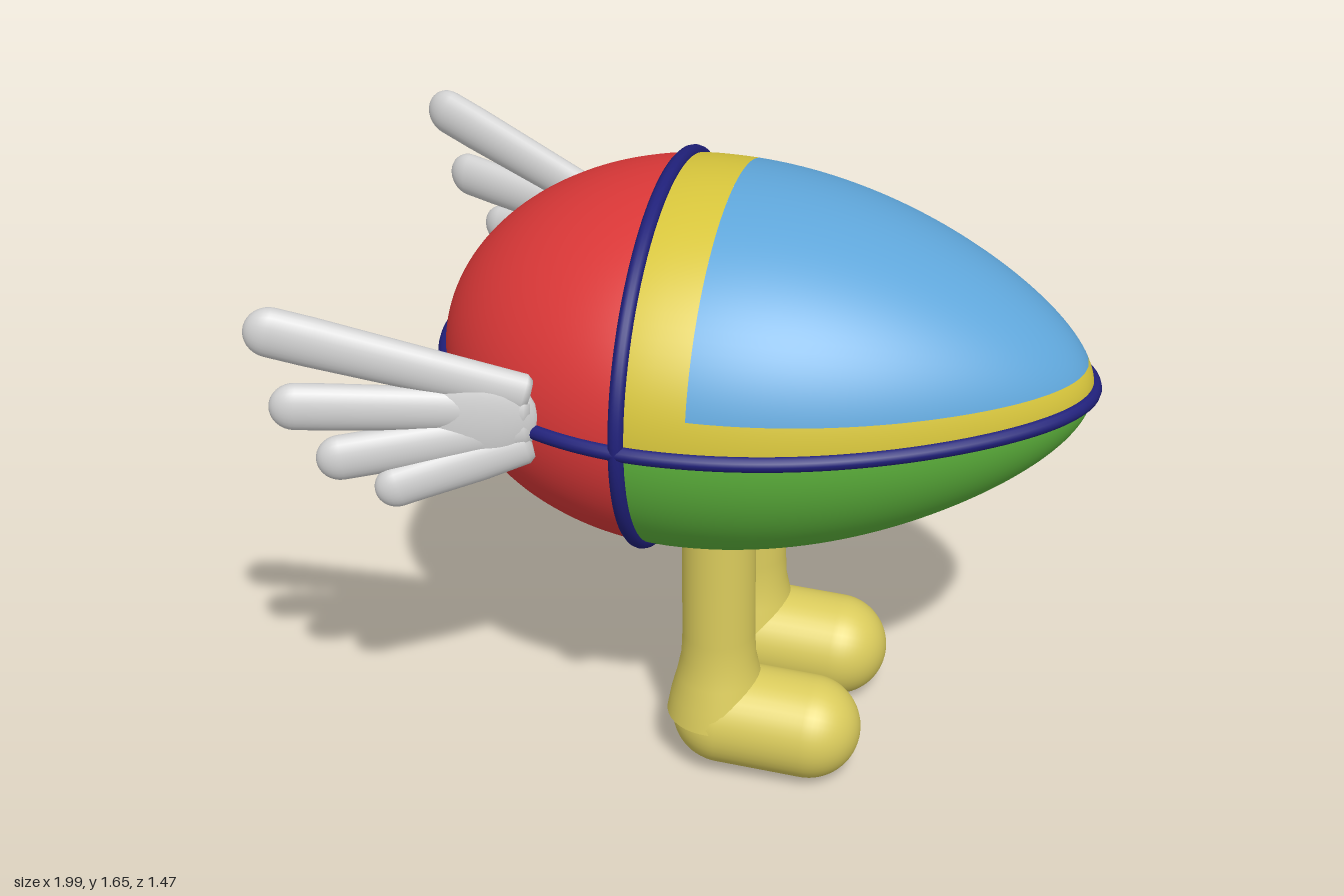
import * as THREE from 'three';

const mat = (name, color, extra = {}) => {
  const m = new THREE.MeshStandardMaterial({ color, ...extra });
  m.name = name;
  return m;
};

// Egg dimensions: widest section at CX, blunt back (-x), pointed nose (+x)
const CX = -0.04, CY = 1.15, BACK = 0.67, NOSE = 1.01, RY = 0.49, RZ = 0.575;

// Squared relative radius of the egg at x
function radiusSq(x) {
  const t = (x - CX) / (x < CX ? BACK : NOSE);
  const taper = x < CX ? 1 : 1 - 0.25 * t * t;
  return Math.max(0, 1 - t * t) * taper * taper;
}
const radius = (x) => Math.sqrt(radiusSq(x));

// Angle at which the upper yellow border ends
function borderAngle(x) {
  const h = 0.1 - 0.03 * (x - 0.05) / 0.92;
  return Math.asin(Math.min(1, h / Math.max(1e-6, RY * radius(x))));
}

// Patch of the egg skin between two x positions and two angle rules
function eggPatch(x0, x1, from, to, rows = 48, cols = 48) {
  const pos = [], nor = [], idx = [];
  for (let i = 0; i <= rows; i++) {
    const x = x0 + (x1 - x0) * Math.sin((i / rows) * Math.PI / 2);
    const f = radius(x), e = 1e-4;
    const slope = (radiusSq(x + e) - radiusSq(x - e)) / (4 * e);
    for (let j = 0; j <= cols; j++) {
      const a = THREE.MathUtils.lerp(from(x), to(x), j / cols);
      const y = RY * f * Math.sin(a), z = RZ * f * Math.cos(a);
      const n = new THREE.Vector3(-slope, y / (RY * RY), z / (RZ * RZ)).normalize();
      pos.push(x, CY + y, z);
      nor.push(n.x, n.y, n.z);
      if (i < rows && j < cols) {
        const p = i * (cols + 1) + j, q = p + cols + 1;
        idx.push(p, q, p + 1, q, q + 1, p + 1);
      }
    }
  }
  const g = new THREE.BufferGeometry();
  g.setAttribute('position', new THREE.Float32BufferAttribute(pos, 3));
  g.setAttribute('normal', new THREE.Float32BufferAttribute(nor, 3));
  g.setIndex(idx);
  return g;
}

// Closed tube through points given by a function of the angle
function loopBand(at) {
  const pts = Array.from({ length: 96 }, (_, i) => at((i / 96) * Math.PI * 2));
  return new THREE.TubeGeometry(new THREE.CatmullRomCurve3(pts, true), 160, 0.02, 12, true);
}

export function createModel() {
  const model = new THREE.Group();
  model.name = 'wingedEgg';
  const red = mat('red', 0xdc3838), blue = mat('blue', 0x5fa6da);
  const green = mat('green', 0x5db33c), yellow = mat('stripeYellow', 0xd8c63c);
  const legYellow = mat('legYellow', 0xdacb5c), navy = mat('navy', 0x20207a);
  const white = mat('wingGrey', 0xd2d2d2);

  const add = (parent, name, geometry, material) => {
    const m = new THREE.Mesh(geometry, material);
    m.name = name;
    parent.add(m);
    return m;
  };
  const k = (v) => () => v;
  const PI = Math.PI, tip = CX + NOSE;

  // Egg skin panels
  const egg = new THREE.Group();
  egg.name = 'egg';
  model.add(egg);
  add(egg, 'backShell', eggPatch(-0.12, CX - BACK, k(2 * PI), k(0), 40, 80), red);
  add(egg, 'lowerShell', eggPatch(-0.12, tip, k(-PI), k(0)), green);
  add(egg, 'crossStripe', eggPatch(-0.12, 0.05, k(0), k(PI), 12), yellow);
  add(egg, 'leftBorder', eggPatch(0.05, tip, k(0), borderAngle, 64, 12), yellow);
  add(egg, 'rightBorder', eggPatch(0.05, tip, (x) => PI - borderAngle(x), k(PI), 64, 12), yellow);
  add(egg, 'upperShell', eggPatch(0.05, tip, borderAngle, (x) => PI - borderAngle(x), 64), blue);

  // Bands round the egg
  add(model, 'horizontalBand', loopBand((a) => {
    const c = Math.cos(a), x = CX + c * (c < 0 ? BACK : NOSE);
    return new THREE.Vector3(x, CY, Math.sign(Math.sin(a)) * RZ * radius(x));
  }), navy);
  const fr = radius(-0.12);
  add(model, 'verticalBand', loopBand((a) =>
    new THREE.Vector3(-0.12, CY + RY * fr * Math.sin(a), RZ * fr * Math.cos(a))), navy);

  // Legs: flared shank and a rounded foot pointing to the nose
  const shank = new THREE.LatheGeometry([
    [0.139, 0.17], [0.128, 0.23], [0.112, 0.29], [0.1, 0.35], [0.097, 0.42], [0.097, 0.82],
  ].map((p) => new THREE.Vector2(...p)), 40);
  const foot = new THREE.CapsuleGeometry(0.14, 0.232, 16, 40);

  // Feathers: [root y, tip centre x, y, z, tip radius]
  const feathers = [
    [1.245, -0.935, 1.44, 0.685, 0.065],
    [1.205, -0.885, 1.25, 0.695, 0.062],
    [1.16, -0.785, 1.11, 0.675, 0.06],
    [1.115, -0.655, 1.03, 0.645, 0.056],
  ];

  for (const s of [1, -1]) {
    const side = s > 0 ? 'left' : 'right';
    const leg = new THREE.Group();
    leg.name = side + 'Leg';
    leg.position.z = 0.2 * s;
    model.add(leg);
    add(leg, 'shank', shank, legYellow).position.x = 0.05;
    const f = add(leg, 'foot', foot, legYellow);
    f.position.set(0.182, 0.153, 0);
    f.rotation.z = -PI / 2 - 0.06;

    const wing = new THREE.Group();
    wing.name = side + 'Wing';
    model.add(wing);
    const normal = new THREE.Vector3(0.29, 0, 0.95 * s).normalize();
    for (const [rootY, tx, ty, tz, r] of feathers) {
      const root = new THREE.Vector3(-0.35, rootY, 0.505 * s);
      const d = new THREE.Vector3(tx, ty, tz * s).sub(root);
      const len = d.length();
      d.normalize();
      // Blunt root, gently swelling, round tip
      const profile = [[0, 0], [0.04, 0.004], [0.053, 0.02], [0.058, len * 0.4], [r, len * 0.85]];
      for (let i = 0; i <= 8; i++) {
        const a = (i / 8) * PI / 2;
        profile.push([r * Math.cos(a), len + r * Math.sin(a)]);
      }
      const g = new THREE.LatheGeometry(profile.map((p) => new THREE.Vector2(...p)), 28);
      g.scale(1, 1, 0.62);
      const wide = d.clone().cross(normal).normalize();
      g.applyMatrix4(new THREE.Matrix4().makeBasis(wide, d, wide.clone().cross(d)).setPosition(root));
      add(wing, 'feather', g, white);
    }
    // Smooth base joining the feathers
    const palm = new THREE.SphereGeometry(1, 32, 20);
    palm.scale(0.15, 0.13, 0.042);
    palm.rotateY(0.29 * s);
    palm.translate(-0.475, 1.185, 0.548 * s);
    add(wing, 'wingBase', palm, white);
  }
  return model;
}
